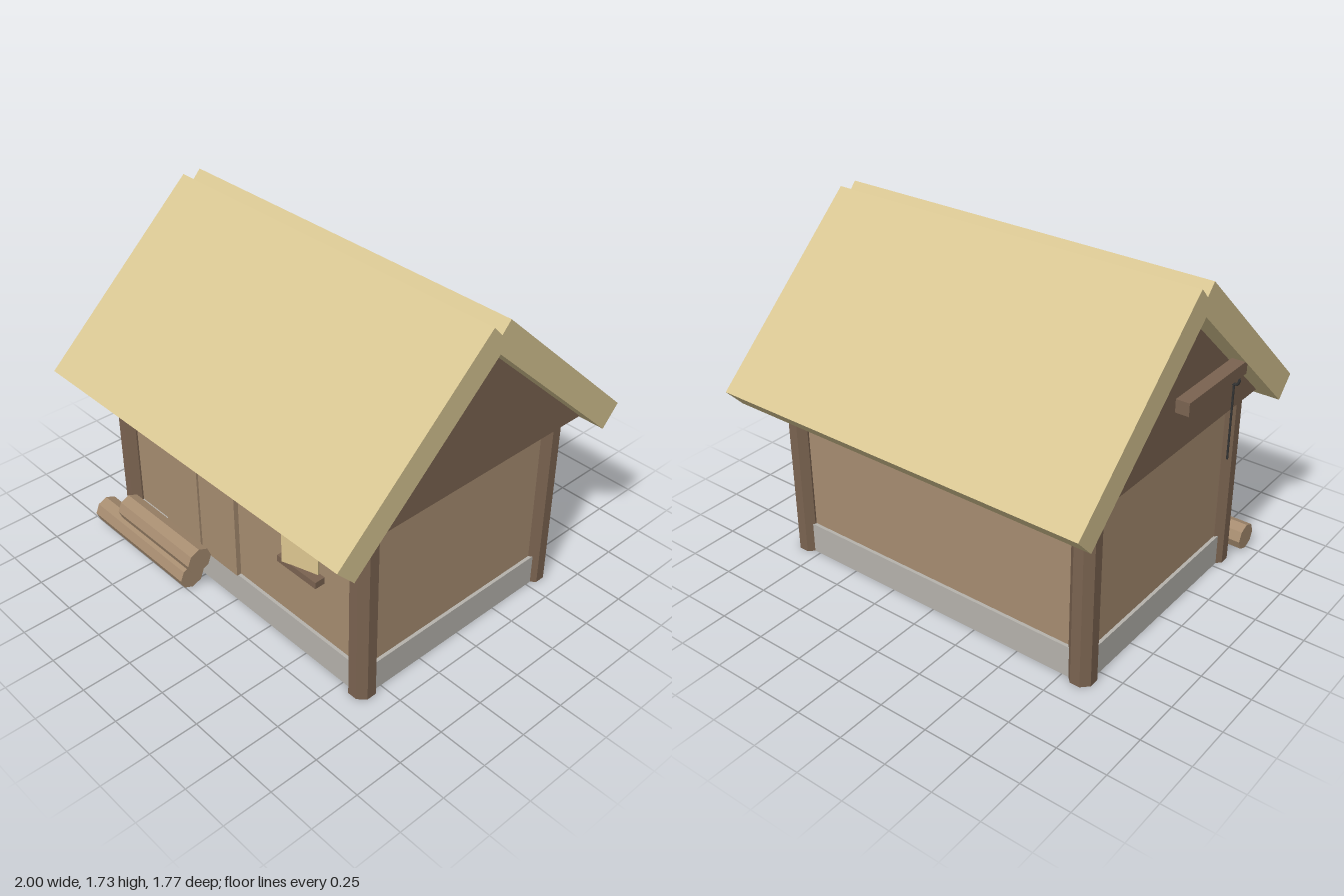
import * as THREE from 'three';

const mat = (color) => new THREE.MeshStandardMaterial({ color, flatShading: true });
const THATCH = mat(0xd6c491), WALL = mat(0xa68c70), TIMBER = mat(0x7a6350);
const STONE = mat(0xb5b2ac), PAPER = mat(0xdcc690), IRON = mat(0x333333);

export function createModel() {
  const model = new THREE.Group();
  model.name = 'cottage';

  const add = (name, geometry, material, x, y, z) => {
    const mesh = new THREE.Mesh(geometry, material);
    mesh.name = name;
    mesh.position.set(x, y, z);
    model.add(mesh);
    return mesh;
  };
  // Box given by its lower and upper limits on each axis
  const block = (name, material, [x0, x1], [y0, y1], [z0, z1]) =>
    add(name, new THREE.BoxGeometry(x1 - x0, y1 - y0, z1 - z0), material,
      (x0 + x1) / 2, (y0 + y1) / 2, (z0 + z1) / 2);

  // Stone footing and plastered walls
  block('footing', STONE, [-0.877, 0.877], [0, 0.163], [-0.612, 0.612]);
  block('walls', WALL, [-0.86, 0.86], [0.163, 0.907], [-0.595, 0.595]);

  // Octagonal corner posts
  const postGeometry = new THREE.CylinderGeometry(0.0665, 0.0665, 0.907, 8).rotateY(Math.PI / 8);
  for (const x of [-0.838, 0.838])
    for (const z of [-0.578, 0.578]) add('cornerPost', postGeometry, TIMBER, x, 0.4535, z);

  // Triangular gable block filling the space under the roof
  const triangle = new THREE.Shape([
    new THREE.Vector2(-0.74, 0.905), new THREE.Vector2(0.74, 0.905), new THREE.Vector2(0, 1.585),
  ]);
  const gable = new THREE.ExtrudeGeometry(triangle, { depth: 1.8, bevelEnabled: false });
  gable.translate(0, 0, -0.9).rotateY(Math.PI / 2);
  add('gable', gable, TIMBER, 0, 0, 0);

  // Two thick thatch slabs crossing at the ridge
  for (const side of [1, -1]) {
    const slab = add('roofSlope', new THREE.BoxGeometry(2, 0.138, 1.136), THATCH, 0, 1.295, side * 0.42);
    slab.rotation.x = side * Math.atan2(0.77, 0.835);
  }

  // Pair of door panels under a lintel
  block('doorPanel', WALL, [-0.535, -0.265], [0.163, 0.85], [0.58, 0.62]);
  block('doorPanel', WALL, [-0.25, 0.015], [0.163, 0.85], [0.58, 0.62]);
  block('doorLintel', TIMBER, [-0.565, 0.045], [0.83, 0.88], [0.58, 0.645]);

  // Window panel, slightly ajar, and its sill
  const shutter = add('windowPanel', new THREE.BoxGeometry(0.188, 0.19, 0.05), PAPER, 0.483, 0.615, 0.61);
  shutter.rotation.y = 0.3;
  block('windowSill', TIMBER, [0.355, 0.61], [0.487, 0.522], [0.58, 0.65]);

  // Stacked logs by the door
  for (const [x0, x1, y] of [[-0.935, -0.21, 0.08], [-0.715, -0.14, 0.217]]) {
    const log = new THREE.CylinderGeometry(0.069, 0.069, x1 - x0, 8).rotateZ(Math.PI / 2);
    add('log', log, WALL, (x0 + x1) / 2, y, 0.722);
  }

  // Beam along the left gable, with a hook and hanging rod
  block('hangingBeam', TIMBER, [-0.998, -0.93], [1.155, 1.22], [-0.08, 0.42]);
  add('hookRing', new THREE.TorusGeometry(0.025, 0.007, 6, 12), IRON, -0.967, 1.135, 0.37);
  add('hangingRod', new THREE.CylinderGeometry(0.005, 0.005, 0.4, 6), IRON, -0.967, 0.92, 0.37);

  return model;
}
